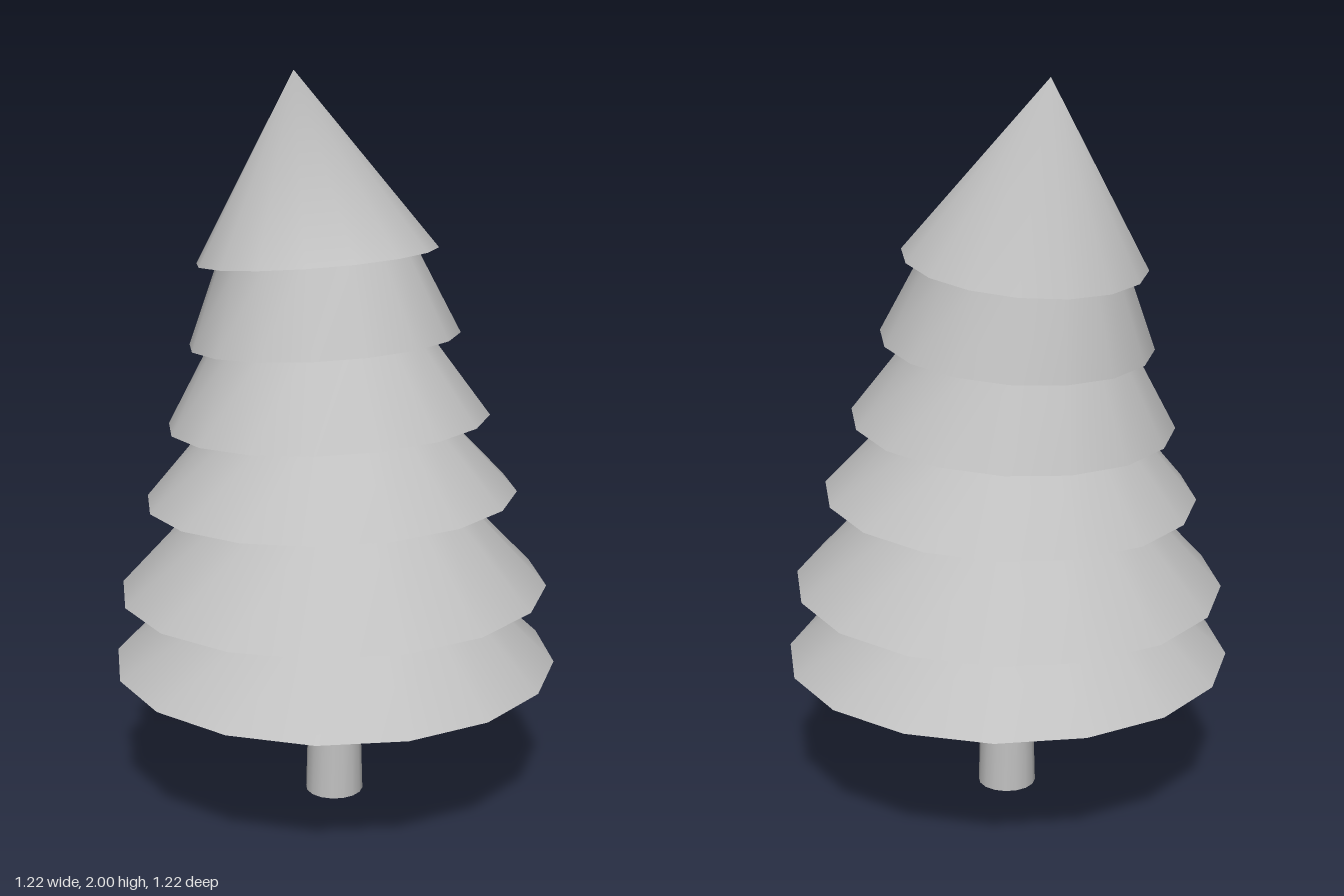
import * as THREE from 'three';
import { mergeGeometries } from 'three/addons/utils/BufferGeometryUtils.js';

const SIDES = 16;

// Tilted ring given by its -x end, its +x end and its half depth in z
function ring([x0, y0, x1, y1, rz]) {
  const points = [];
  for (let i = 0; i < SIDES; i++) {
    const a = (i / SIDES) * Math.PI * 2, c = Math.cos(a);
    points.push([
      (x0 + x1) / 2 + (c * (x1 - x0)) / 2,
      (y0 + y1) / 2 + (c * (y1 - y0)) / 2,
      -Math.sin(a) * rz,
    ]);
  }
  return points;
}

function surface(points, index) {
  const g = new THREE.BufferGeometry();
  g.setAttribute('position', new THREE.Float32BufferAttribute(points.flat(), 3));
  g.setIndex(index);
  g.computeVertexNormals();
  return g;
}

// Triangle fan from a ring to one shared point; up decides which way it faces
function fan(points, centre, up) {
  const index = [];
  for (let i = 0; i < SIDES; i++) {
    const j = (i + 1) % SIDES;
    index.push(...(up ? [SIDES, i, j] : [SIDES, j, i]));
  }
  return surface([...points, centre], index);
}

function middle([x0, y0, x1, y1]) {
  return [(x0 + x1) / 2, (y0 + y1) / 2, 0];
}

// Smooth wall between two rings, with sharp-edged flat ends
function frustum(bottom, top) {
  const b = ring(bottom), t = ring(top), index = [];
  for (let i = 0; i < SIDES; i++) {
    const j = (i + 1) % SIDES;
    index.push(i, j, SIDES + j, i, SIDES + j, SIDES + i);
  }
  return mergeGeometries([
    surface([...b, ...t], index),
    fan(b, middle(bottom), false),
    fan(t, middle(top), true),
  ]);
}

// Smooth leaning cone with a flat underside
function cone(bottom, apex) {
  const b = ring(bottom);
  return mergeGeometries([fan(b, apex, true), fan(b, middle(bottom), false)]);
}

export function createModel() {
  const group = new THREE.Group();
  const grey = new THREE.MeshStandardMaterial({ color: 0xc0c0c0 });
  grey.name = 'plain grey';

  const add = (name, geometry) => {
    const mesh = new THREE.Mesh(geometry, grey);
    mesh.name = name;
    group.add(mesh);
  };

  // Trunk, slightly tapered
  add('trunk', frustum([-0.08, 0, 0.08, 0, 0.08], [-0.068, 0.42, 0.068, 0.42, 0.068]));

  // Branch tiers, tilting more and more towards the top: lower rim, upper rim
  const tiers = [
    [[-0.608, 0.4, 0.608, 0.4, 0.608], [-0.37, 0.61, 0.365, 0.635, 0.37]],
    [[-0.59, 0.597, 0.58, 0.625, 0.585], [-0.35, 0.86, 0.305, 0.905, 0.33]],
    [[-0.517, 0.845, 0.49, 0.894, 0.506], [-0.345, 1.06, 0.265, 1.117, 0.31]],
    [[-0.459, 1.048, 0.41, 1.107, 0.436], [-0.353, 1.275, 0.215, 1.34, 0.29]],
    [[-0.404, 1.266, 0.322, 1.33, 0.366], [-0.336, 1.493, 0.185, 1.565, 0.265]],
  ];
  tiers.forEach(([low, high], i) => add(`branchTier${i + 1}`, frustum(low, high)));

  // Leaning tip
  add('treeTip', cone([-0.393, 1.482, 0.252, 1.556, 0.325], [-0.165, 2, 0]));

  return group;
}
